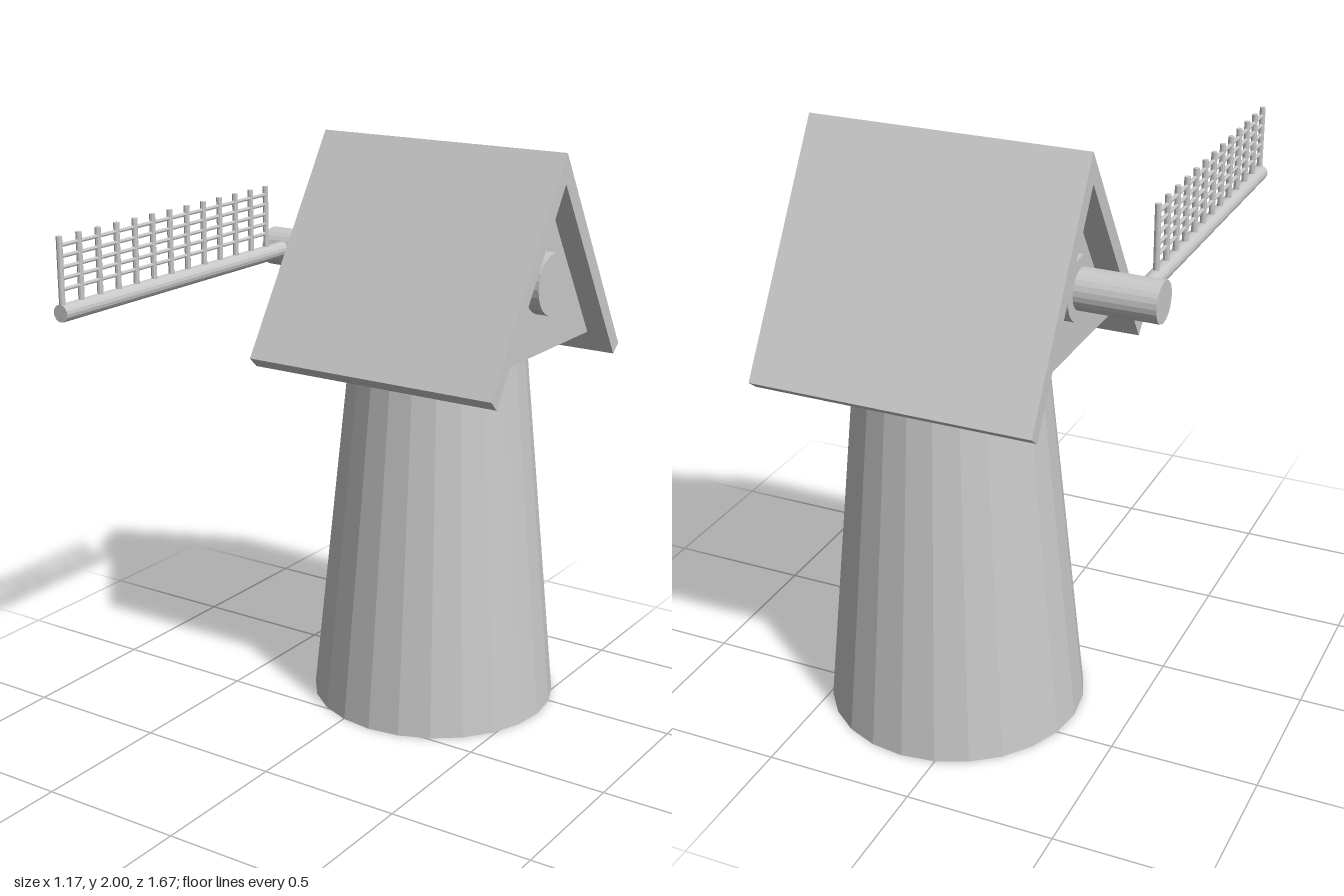
import * as THREE from 'three';

export function createModel() {
  const model = new THREE.Group();
  const grey = new THREE.MeshStandardMaterial({ color: 0xc8c8c8 });
  grey.name = 'plain grey';

  const CZ = -0.385; // axis of the tower and roof ridge
  const AXLE_Y = 1.565;
  const SAIL_X = -0.507;

  function add(name, geometry, parent = model) {
    // facet the rounded parts
    const flat = geometry.index ? geometry.toNonIndexed() : geometry;
    flat.computeVertexNormals();
    const mesh = new THREE.Mesh(flat, grey);
    mesh.name = name;
    parent.add(mesh);
    return mesh;
  }

  // cylinder lying along x, from x0 to x1
  function rodX(name, r, x0, x1, y, z) {
    const g = new THREE.CylinderGeometry(r, r, x1 - x0, 24).rotateZ(Math.PI / 2);
    add(name, g.translate((x0 + x1) / 2, y, z));
  }

  // cylinder lying along z, from z0 to z1
  function rodZ(name, r, z0, z1, x, y, sides, parent) {
    const g = new THREE.CylinderGeometry(r, r, z1 - z0, sides).rotateX(Math.PI / 2);
    add(name, g.translate(x, y, (z0 + z1) / 2), parent);
  }

  // (z, y) outline extruded along x
  function prism(name, points, x0, x1) {
    const shape = new THREE.Shape(points.map(([z, y]) => new THREE.Vector2(-z, y)));
    const g = new THREE.ExtrudeGeometry(shape, { depth: x1 - x0, bevelEnabled: false });
    add(name, g.rotateY(Math.PI / 2).translate(x0, 0, 0));
  }

  // tapered tower
  add('tower', new THREE.CylinderGeometry(0.304, 0.435, 1.32, 24).translate(0.115, 0.66, CZ));

  // cap: triangular housing under an overhanging gabled roof
  prism('capHousing', [[CZ + 0.375, 1.32], [CZ, 1.9], [CZ - 0.375, 1.32]], -0.275, 0.505);
  prism('roof', [
    [0.072, 1.277], [-0.388, 2], [-0.835, 1.272],
    [-0.797, 1.242], [CZ, 1.9], [0.036, 1.242],
  ], -0.36, 0.585);

  // bearing collar showing at both gables, and the axle
  rodX('bearingCollar', 0.105, -0.325, 0.553, AXLE_Y, CZ);
  rodX('axle', 0.0675, -0.59, -0.2, AXLE_Y, CZ);

  // sail: round spar carrying a lattice
  const sail = new THREE.Group();
  sail.name = 'sail';
  model.add(sail);
  rodZ('sailSpar', 0.028, CZ, 0.835, SAIL_X, 1.57, 16, sail);
  for (let i = 0; i < 13; i++) {
    const z = 0.825 - i * 0.0878;
    add('sailBar', new THREE.CylinderGeometry(0.01, 0.01, 0.24, 10).translate(SAIL_X, 1.69, z), sail);
  }
  for (let i = 0; i < 5; i++) {
    rodZ('sailLath', 0.0065, -0.23, 0.828, SAIL_X, 1.643 + i * 0.0345, 8, sail);
  }

  return model;
}
